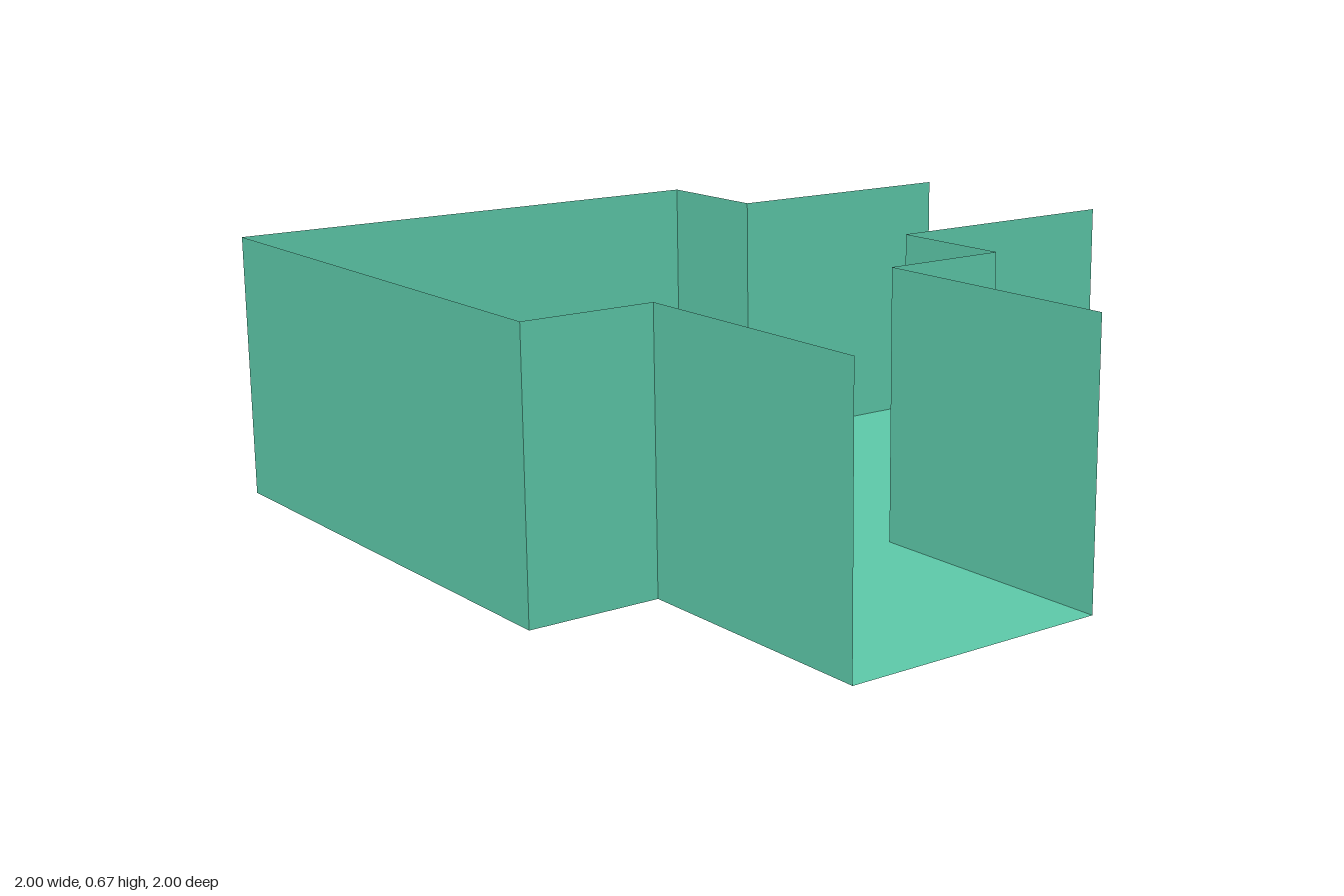
import * as THREE from 'three';

const HEIGHT = 0.665;

// Floor plan as [x, z], split into the two wall runs between the open doorways.
const outerRun = [
  [1, -0.665], [0.33, -0.665], [0.33, -1], [-1, -1],
  [-1, 0.33], [-0.67, 0.33], [-0.67, 1],
];
const innerRun = [[0, 1], [0, 0.33], [0.33, 0.33], [0.33, 0], [1, 0]];

export function createModel() {
  const group = new THREE.Group();
  const material = new THREE.MeshStandardMaterial({
    color: 0x5ecbab, flatShading: true, side: THREE.DoubleSide,
  });

  // Floor slab: the whole plan outline laid flat
  const plan = new THREE.Shape([...outerRun, ...innerRun].map(([x, z]) => new THREE.Vector2(x, -z)));
  const floor = new THREE.Mesh(new THREE.ShapeGeometry(plan).rotateX(-Math.PI / 2), material);
  floor.name = 'floor';
  group.add(floor);

  // Thin upright panels along each run
  const addWalls = (run, name) => {
    const walls = new THREE.Group();
    walls.name = name;
    for (let i = 0; i < run.length - 1; i++) {
      const [x0, z0] = run[i];
      const [x1, z1] = run[i + 1];
      const length = Math.hypot(x1 - x0, z1 - z0);
      const panel = new THREE.Mesh(new THREE.PlaneGeometry(length, HEIGHT), material);
      panel.name = 'wallPanel';
      panel.position.set((x0 + x1) / 2, HEIGHT / 2, (z0 + z1) / 2);
      // Turned so the front side faces outward
      panel.rotation.y = Math.atan2(z0 - z1, x1 - x0);
      walls.add(panel);
    }
    group.add(walls);
  };
  addWalls(outerRun, 'outerWalls');
  addWalls(innerRun, 'innerWalls');

  return group;
}
